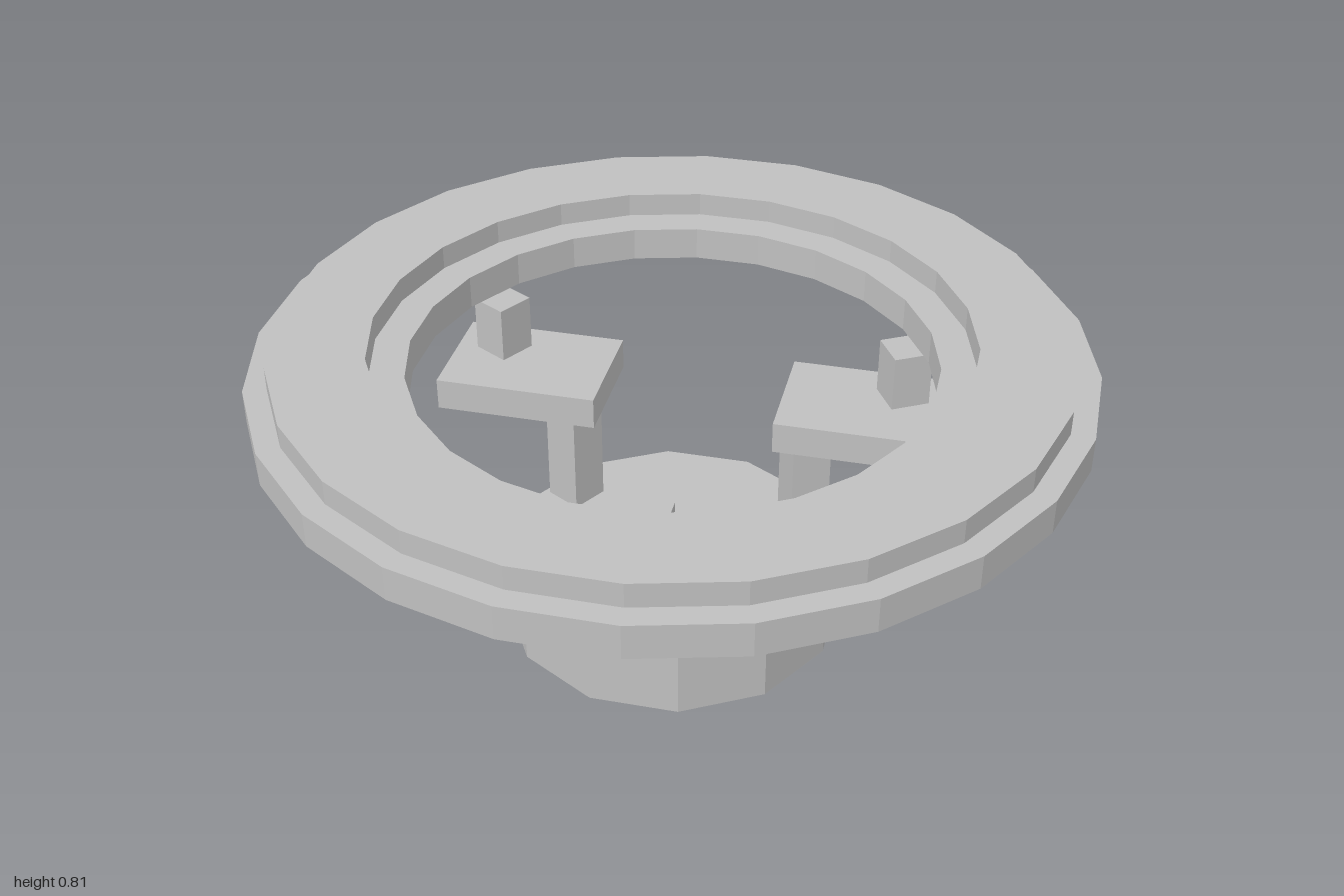
import * as THREE from 'three';

export function createModel() {
  const model = new THREE.Group();
  model.name = 'ringStand';
  const grey = new THREE.MeshStandardMaterial({ color: 0xc0c0c0, flatShading: true });
  grey.name = 'grey';

  const add = (name, geometry, x = 0, y = 0, z = 0, turn = 0) => {
    const mesh = new THREE.Mesh(geometry, grey);
    mesh.name = name;
    mesh.position.set(x, y, z);
    mesh.rotation.y = turn;
    model.add(mesh);
  };

  // Twelve-sided base with a flat facing front, and a ten-sided raised hub
  const baseRadius = 0.415 / Math.cos(Math.PI / 12);
  add('base', new THREE.CylinderGeometry(baseRadius, baseRadius, 0.175, 12), 0, 0.0875, 0, Math.PI / 12);
  add('hub', new THREE.CylinderGeometry(0.228, 0.228, 0.045, 10), 0, 0.1975, 0);

  // Three offset supports: lower post, plate, upper post
  const supports = [
    { side: 'front', angle: 0, width: 0.14, depth: 0.46 },
    { side: 'left', angle: Math.PI * 2 / 3, width: 0.415, depth: 0.30 },
    { side: 'right', angle: -Math.PI * 2 / 3, width: 0.415, depth: 0.30 },
  ];
  for (const { side, angle, width, depth } of supports) {
    const sx = Math.sin(angle), sz = Math.cos(angle);
    add(side + 'LowerPost', new THREE.BoxGeometry(0.1, 0.265, 0.1), sx * 0.35, 0.3075, sz * 0.35, angle);
    add(side + 'Plate', new THREE.BoxGeometry(width, 0.083, depth), sx * 0.505, 0.479, sz * 0.505);
    add(side + 'UpperPost', new THREE.BoxGeometry(0.1, 0.145, 0.1), sx * 0.606, 0.5925, sz * 0.606, angle);
  }

  // Stepped ring with 24 flat sides; radii are measured to the flats
  const sides = 24;
  const profile = [
    [0.63, 0.665], [1, 0.665], [1, 0.75], [0.944, 0.75], [0.944, 0.81],
    [0.715, 0.81], [0.715, 0.75], [0.63, 0.75], [0.63, 0.665],
  ].map(([r, y]) => new THREE.Vector2(r / Math.cos(Math.PI / sides), y));
  add('ring', new THREE.LatheGeometry(profile, sides, Math.PI / sides));

  return model;
}
